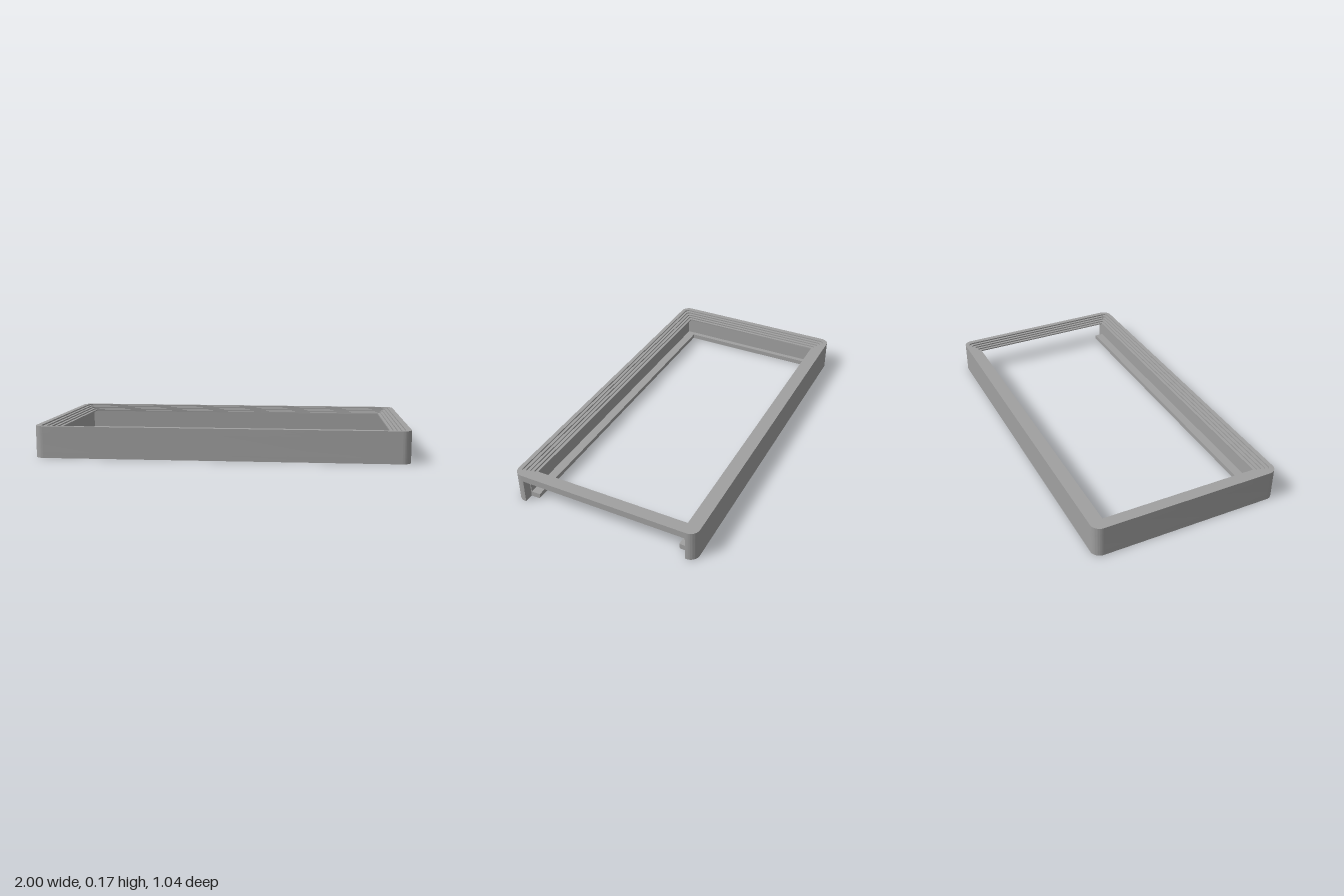
import * as THREE from 'three';
import { toCreasedNormals } from 'three/addons/utils/BufferGeometryUtils.js';

const HX = 1, HZ = 0.522, R = 0.05;   // outer half sizes and corner radius
const CUT_X = 0.95, CUT_Z = 0.465;    // slot through the +x end

// Rounded rectangle centred on the origin
function roundRect(path, hx, hz, r) {
  path.moveTo(hx, -hz + r);
  path.lineTo(hx, hz - r);
  path.absarc(hx - r, hz - r, r, 0, Math.PI / 2);
  path.lineTo(-hx + r, hz);
  path.absarc(-hx + r, hz - r, r, Math.PI / 2, Math.PI);
  path.lineTo(-hx, -hz + r);
  path.absarc(-hx + r, -hz + r, r, Math.PI, Math.PI * 1.5);
  path.lineTo(hx - r, -hz);
  path.absarc(hx - r, -hz + r, r, Math.PI * 1.5, Math.PI * 2);
  return path;
}

// Closed ring with a rectangular opening
function ring(ix, iz, r) {
  const s = roundRect(new THREE.Shape(), HX, HZ, R);
  s.holes.push(roundRect(new THREE.Path(), ix, iz, r));
  return s;
}

// U-shaped ring, open at the +x end
function openRing(ix, iz) {
  const s = new THREE.Shape();
  s.moveTo(HX, CUT_Z);
  s.lineTo(HX, HZ - R);
  s.absarc(HX - R, HZ - R, R, 0, Math.PI / 2);
  s.lineTo(-HX + R, HZ);
  s.absarc(-HX + R, HZ - R, R, Math.PI / 2, Math.PI);
  s.lineTo(-HX, -HZ + R);
  s.absarc(-HX + R, -HZ + R, R, Math.PI, Math.PI * 1.5);
  s.lineTo(HX - R, -HZ);
  s.absarc(HX - R, -HZ + R, R, Math.PI * 1.5, Math.PI * 2);
  s.lineTo(HX, -CUT_Z);
  s.lineTo(CUT_X, -CUT_Z);
  s.lineTo(CUT_X, -iz);
  s.lineTo(-ix, -iz);
  s.lineTo(-ix, iz);
  s.lineTo(CUT_X, iz);
  s.lineTo(CUT_X, CUT_Z);
  return s;
}

export function createModel() {
  const model = new THREE.Group();
  model.name = 'slidingFrame';
  const grey = new THREE.MeshStandardMaterial({ color: 0xa0a0a0 });
  grey.name = 'grey plastic';

  // Horizontal slab of the frame between two heights
  const layer = (name, shape, y0, y1) => {
    const g = new THREE.ExtrudeGeometry(shape, { depth: y1 - y0, bevelEnabled: false, curveSegments: 12 });
    g.rotateX(-Math.PI / 2);
    const m = new THREE.Mesh(toCreasedNormals(g, 0.5), grey);
    m.name = name;
    m.position.y = y0;
    model.add(m);
  };

  // Bottom lip with a small relief on its lower edge, then the channel walls
  layer('lipRelief', openRing(0.907, 0.415), 0, 0.006);
  layer('bottomLip', openRing(0.902, 0.41), 0.006, 0.03);
  layer('channelWall', openRing(0.93, 0.46), 0.03, 0.135);

  // Roof bridging the open end, stepping down toward the opening
  const steps = 5, y0 = 0.135, h = (0.172 - y0) / steps;
  for (let i = 0; i < steps; i++) {
    const o = i * 0.016;
    layer('rimStep' + (i + 1), ring(0.906 + o, 0.435 + o, 0.002 + 0.006 * i), y0 + i * h, y0 + (i + 1) * h);
  }
  return model;
}
